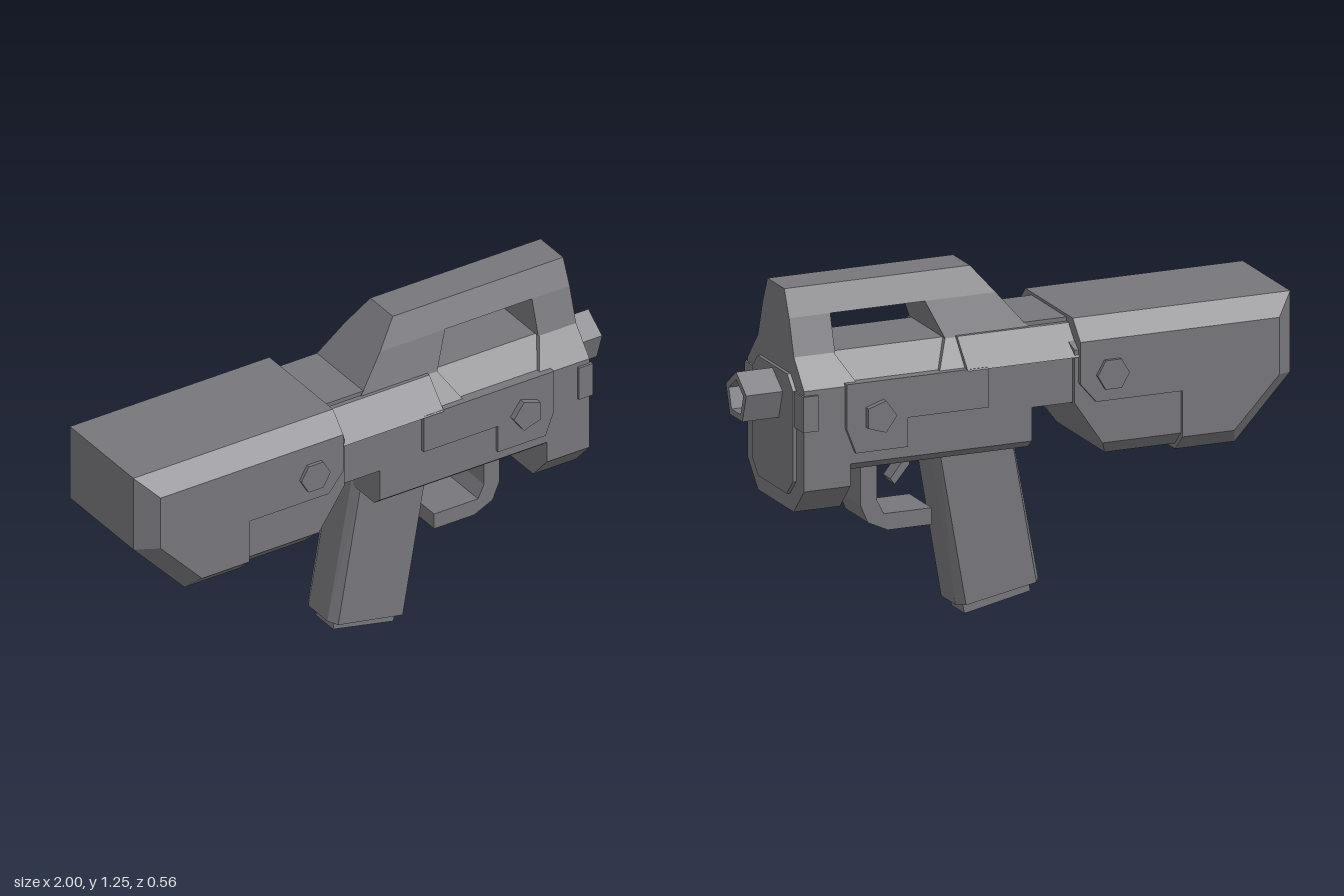
import * as THREE from 'three';

const gunmetal = new THREE.MeshStandardMaterial({ color: 0x77767b });
gunmetal.name = 'gunmetal';

export function createModel() {
  const model = new THREE.Group();

  function add(name, geometry) {
    const mesh = new THREE.Mesh(geometry, gunmetal);
    mesh.name = name;
    model.add(mesh);
    return mesh;
  }

  // Solid mirrored in z. Each ring is a counter-clockwise side outline of
  // [x, y, halfWidth]; the first ring is the outer face, later ones lie further in.
  function shell(name, ...rings) {
    const positions = [];
    const tri = (...pts) => pts.forEach(p => positions.push(...p));
    const flip = ([x, y, z]) => [x, y, -z];
    const cap = rings[0];
    const outline = cap.map(p => new THREE.Vector2(p[0], p[1]));
    for (const [a, b, c] of THREE.ShapeUtils.triangulateShape(outline, [])) {
      tri(cap[a], cap[b], cap[c]);
      tri(flip(cap[c]), flip(cap[b]), flip(cap[a]));
    }
    const all = [...rings, ...[...rings].reverse().map(r => r.map(flip))];
    for (let k = 0; k < all.length - 1; k++) {
      const a = all[k], b = all[k + 1];
      for (let i = 0; i < a.length; i++) {
        const j = (i + 1) % a.length;
        tri(a[i], b[i], b[j]);
        tri(a[i], b[j], a[j]);
      }
    }
    const g = new THREE.BufferGeometry();
    g.setAttribute('position', new THREE.Float32BufferAttribute(positions, 3));
    g.computeVertexNormals();
    return add(name, g);
  }

  const flat = (pts, z) => pts.map(([x, y]) => [x, y, z]);
  const slab = (name, z, pts) => shell(name, flat(pts, z));

  // Regular polygon outline
  const polygon = (cx, cy, r, n, start) => Array.from({ length: n }, (_, i) => {
    const a = start + i * 2 * Math.PI / n;
    return [cx + r * Math.cos(a), cy + r * Math.sin(a)];
  });

  // Stock: bevelled shell around a slimmer core
  shell('stockShell',
    flat([[-0.93, 0.99], [-0.93, 0.785], [-0.76, 0.605], [-0.565, 0.605], [-0.565, 0.77],
      [-0.24, 0.77], [-0.18, 0.84], [-0.18, 0.99]], 0.265),
    flat([[-1, 1.06], [-1, 0.77], [-0.79, 0.545], [-0.565, 0.545], [-0.565, 0.77],
      [-0.24, 0.77], [-0.18, 0.84], [-0.18, 1.06]], 0.2));
  shell('stockCore',
    flat([[-0.6, 0.615], [-0.27, 0.615], [-0.165, 0.77], [-0.165, 0.96], [-0.6, 0.96]], 0.25),
    flat([[-0.6, 0.565], [-0.3, 0.565], [-0.155, 0.77], [-0.155, 0.99], [-0.6, 0.99]], 0.2));

  // Receiver: side walls with a narrow bottom chamfer
  slab('receiver', 0.237, [[-0.2, 0.77], [-0.01, 0.77], [-0.01, 0.65], [0.85, 0.65], [0.85, 0.93], [-0.2, 0.93]]);
  shell('receiverBottom', [[-0.01, 0.62, 0.2], [0.7, 0.62, 0.2], [0.7, 0.65, 0.237], [-0.01, 0.65, 0.237]]);
  slab('frontBlock', 0.237, [[0.675, 0.57], [0.85, 0.57], [0.85, 0.66], [0.675, 0.66]]);
  shell('frontBlockChin', [[0.675, 0.475, 0.15], [0.85, 0.475, 0.15], [0.85, 0.57, 0.237], [0.675, 0.57, 0.237]]);

  // Sloped shoulders, cut open under the handle window
  const shoulder = (name, lowL, lowR, topR, topL) => shell(name,
    [[lowL, 0.93, 0.237], [lowR, 0.93, 0.237], [topR, 1.03, 0.152], [topL, 1.03, 0.152]]);
  shoulder('rearShoulder', -0.2, 0.34, 0.28, -0.2);
  shoulder('frontShoulder', 0.645, 0.85, 0.85, 0.7);
  shell('windowFloor', [[0.27, 0.93, 0.222], [0.71, 0.93, 0.222], [0.71, 1.03, 0.132], [0.27, 1.03, 0.132]]);
  slab('rearDeck', 0.146, [[-0.2, 1.0], [0, 1.0], [0, 1.05], [-0.2, 1.05]]);

  // Carry handle, narrowing towards the top
  const w0 = 0.152, w1 = 0.112, w2 = 0.071;
  shell('handleRearStrut', [[-0.037, 1.03, w0], [0.28, 1.03, w0], [0.338, 1.16, w1], [0.071, 1.16, w1]]);
  shell('handleFrontStrut', [[0.695, 1.03, w0], [0.85, 1.03, w0], [0.85, 1.16, w1], [0.695, 1.16, w1]]);
  shell('handleTop', [[0.071, 1.16, w1], [0.85, 1.16, w1], [0.85, 1.255, w2], [0.15, 1.255, w2]]);

  // Raised armour panels on both sides
  shell('upperPanel', [[-0.19, 0.935, 0.256], [0.24, 0.935, 0.256], [0.24, 1.035, 0.164], [-0.19, 1.035, 0.164]]);
  slab('sidePanel', 0.252, [[0.16, 0.795], [0.465, 0.795], [0.465, 0.69], [0.66, 0.69],
    [0.695, 0.78], [0.695, 0.94], [0.16, 0.94]]);
  slab('frontBand', 0.247, [[0.8, 0.785], [0.857, 0.785], [0.857, 0.913], [0.8, 0.913]]);

  // Side bolts
  slab('rearBolt', 0.278, polygon(-0.3, 0.865, 0.06, 6, 0));
  slab('frontBolt', 0.275, polygon(0.575, 0.815, 0.06, 5, Math.PI));

  // Parts extruded along x: front plate and hollow five-sided muzzle
  function alongX(name, pts, x, depth, hole) {
    const toVectors = list => list.map(p => new THREE.Vector2(...p));
    const shape = new THREE.Shape(toVectors(pts));
    if (hole) shape.holes.push(new THREE.Path(toVectors(hole)));
    const g = new THREE.ExtrudeGeometry(shape, { depth, bevelEnabled: false });
    g.rotateY(Math.PI / 2);
    g.translate(x, 0, 0);
    return add(name, g);
  }
  alongX('frontPlate', [[-0.12, 0.535], [0.12, 0.535], [0.172, 0.59], [0.172, 0.915],
    [0.125, 0.965], [-0.125, 0.965], [-0.172, 0.915], [-0.172, 0.59]], 0.84, 0.023);
  alongX('muzzle', polygon(0, 0.864, 0.091, 5, Math.PI / 2), 0.85, 0.15,
    polygon(0, 0.864, 0.064, 5, Math.PI / 2));

  // Slanted grip with bevelled edges and a base plug
  shell('grip',
    flat([[-0.09, 0.095], [0.175, 0.045], [0.28, 0.64], [0.005, 0.64]], 0.095),
    flat([[-0.112, 0.1], [0.2, 0.04], [0.303, 0.64], [-0.012, 0.64]], 0.06));
  slab('gripBase', 0.055, [[-0.085, 0.055], [0.163, 0.003], [0.175, 0.06], [-0.075, 0.11]]);

  // Trigger and its guard
  slab('triggerGuard', 0.094, [[0.305, 0.35], [0.47, 0.35], [0.545, 0.385], [0.573, 0.45], [0.573, 0.63],
    [0.51, 0.63], [0.51, 0.46], [0.485, 0.41], [0.305, 0.41]]);
  slab('trigger', 0.03, [[0.36, 0.555], [0.415, 0.49], [0.432, 0.512], [0.39, 0.565], [0.39, 0.63], [0.36, 0.63]]);

  // Stand the model on y = 0
  const low = new THREE.Box3().setFromObject(model).min.y;
  model.children.forEach(part => { part.position.y -= low; });
  return model;
}
